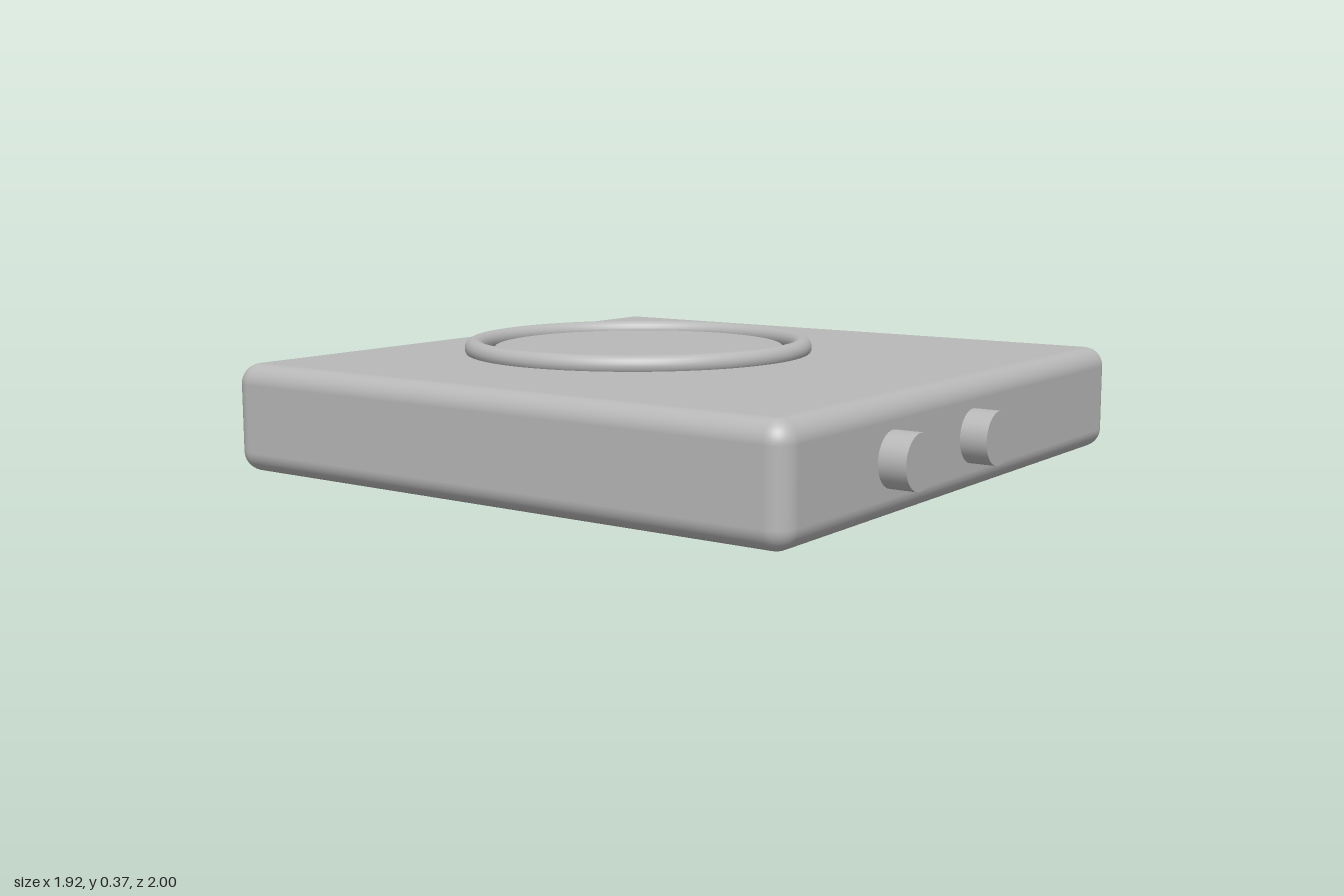
import * as THREE from 'three';
import { RoundedBoxGeometry } from 'three/addons/geometries/RoundedBoxGeometry.js';

export function createModel() {
  const model = new THREE.Group();
  const grey = new THREE.MeshStandardMaterial({ color: 0xb8b8b8 });
  grey.name = 'grey';

  const add = (name, geometry, x, y, z) => {
    const mesh = new THREE.Mesh(geometry, grey);
    mesh.name = name;
    mesh.position.set(x, y, z);
    model.add(mesh);
    return mesh;
  };

  // Rounded slab body
  add('body', new RoundedBoxGeometry(1.92, 0.32, 1.92, 6, 0.06), 0, 0.16, -0.04);

  // Round plate inside a raised ring, set towards the back
  const plateZ = -0.235;
  add('plate', new THREE.CylinderGeometry(0.447, 0.447, 0.04, 96), 0, 0.318, plateZ);
  add('ring', new THREE.TorusGeometry(0.51, 0.03, 20, 96).rotateX(Math.PI / 2), 0, 0.335, plateZ);

  // Two knobs on the front face
  for (const [name, x] of [['rightKnob', -0.45], ['middleKnob', 0]]) {
    add(name, new THREE.CylinderGeometry(0.076, 0.076, 0.14, 40).rotateX(Math.PI / 2), x, 0.16, 0.93);
  }

  return model;
}
